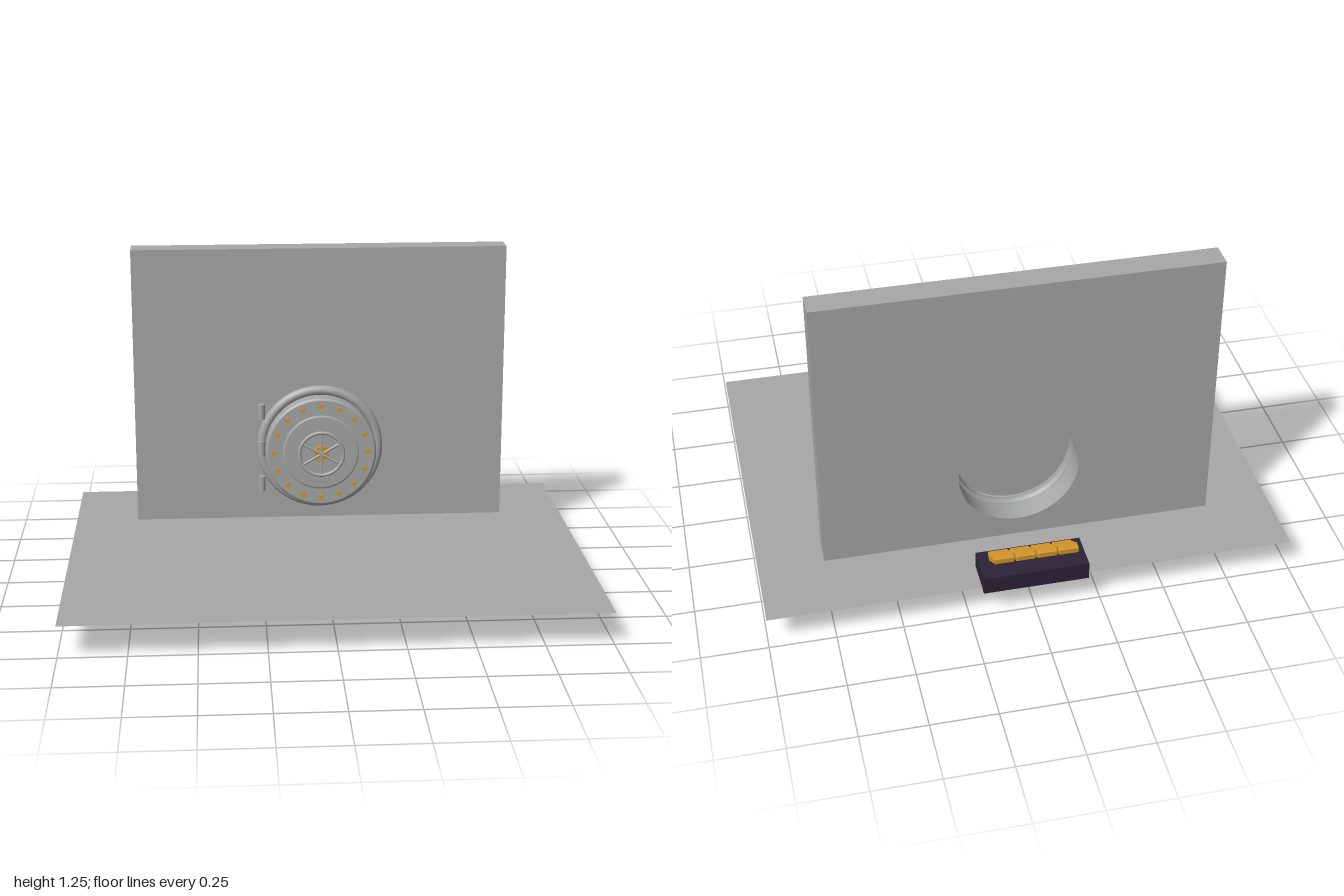
import * as THREE from 'three';
import { RoundedBoxGeometry } from 'three/addons/geometries/RoundedBoxGeometry.js';

const material = (name, color, side = THREE.FrontSide) =>
  Object.assign(new THREE.MeshStandardMaterial({ color, side }), { name });

export function createModel() {
  const stone = material('stone grey', 0xa8a8a8, THREE.DoubleSide);
  const steel = material('steel grey', 0xa6a8a7);
  const gold = material('gold', 0xd4952a);
  const dark = material('dark violet', 0x2d2238);

  const model = new THREE.Group();
  model.name = 'vault';
  const add = (parent, name, geometry, mat, x = 0, y = 0, z = 0) => {
    const mesh = new THREE.Mesh(geometry, mat);
    mesh.name = name;
    mesh.position.set(x, y, z);
    parent.add(mesh);
    return mesh;
  };

  // Floor sheet
  add(model, 'floor', new THREE.PlaneGeometry(2, 1.5).rotateX(-Math.PI / 2), stone, 0, 0.125, 0.01);

  // Wall with a round opening
  const doorY = 0.43;
  const outline = new THREE.Shape();
  outline.moveTo(-0.75, 0).lineTo(0.75, 0).lineTo(0.75, 1.25).lineTo(-0.75, 1.25).closePath();
  const hole = new THREE.Path();
  hole.absarc(0, doorY, 0.23, 0, Math.PI * 2, true);
  outline.holes.push(hole);
  add(model, 'wall', new THREE.ExtrudeGeometry(outline, { depth: 0.1, bevelEnabled: false, curveSegments: 48 }),
    stone, 0, 0, -0.465);

  // Round frame around the opening
  add(model, 'doorFrame', new THREE.TorusGeometry(0.237, 0.02, 16, 64), steel, 0, doorY, -0.36);

  // Hinge knuckles on the frame
  for (const y of [0.28, 0.43, 0.585]) {
    add(model, 'hinge', new THREE.CylinderGeometry(0.014, 0.014, 0.062, 16), steel, -0.238, y, -0.341);
  }

  // Door group: local z = 0 is the front face
  const door = new THREE.Group();
  door.name = 'door';
  door.position.set(0, doorY, -0.27);
  model.add(door);

  // Door slab with a rounded rim; corners doubled to keep them sharp
  const profile = [
    [0, -0.065], [0.223, -0.065], [0.223, -0.065], [0.225, -0.062], [0.225, -0.062],
    [0.225, -0.008], [0.225, -0.008], [0.222, -0.002], [0.216, 0], [0.216, 0],
    [0.155, 0], [0.155, 0], [0.148, 0.003], [0.148, 0.003], [0, 0.003],
  ].map(([r, h]) => new THREE.Vector2(r, h));
  add(door, 'doorSlab', new THREE.LatheGeometry(profile, 64).rotateX(Math.PI / 2), steel);

  // Ring of gold bolts
  for (let i = 0; i < 16; i++) {
    const a = (i / 16) * Math.PI * 2;
    add(door, 'bolt', new THREE.CylinderGeometry(0.01, 0.01, 0.012, 12).rotateX(Math.PI / 2), gold,
      0.192 * Math.cos(a), 0.192 * Math.sin(a), 0.001);
  }

  // Hand wheel on a gold hub
  add(door, 'wheelHub', new THREE.CylinderGeometry(0.03, 0.03, 0.021, 24).rotateX(Math.PI / 2), gold, 0, 0, 0.0105);
  const wheel = new THREE.Group();
  wheel.name = 'handWheel';
  wheel.position.z = 0.025;
  door.add(wheel);
  add(wheel, 'wheelRim', new THREE.TorusGeometry(0.089, 0.007, 12, 48), steel);
  for (let i = 0; i < 3; i++) {
    add(wheel, 'wheelSpoke', new THREE.CylinderGeometry(0.005, 0.005, 0.176, 10), steel).rotation.z = i * Math.PI / 3;
  }
  add(wheel, 'wheelCap', new THREE.CylinderGeometry(0.01, 0.01, 0.013, 16).rotateX(Math.PI / 2), steel);

  // Plinth with stepped rows of gold bars behind the wall
  add(model, 'plinth', new THREE.BoxGeometry(0.4, 0.07, 0.15), dark, 0, 0.155, -0.69);
  for (let row = 0; row < 3; row++) {
    for (let i = 0; i < 4; i++) {
      add(model, 'goldBar', new RoundedBoxGeometry(0.076, 0.025, 0.034, 2, 0.004), gold,
        (i - 1.5) * 0.081, 0.205 + row * 0.028, -0.663 - row * 0.04);
    }
  }

  // Floating dust specks in front of the door
  const specks = [
    [-0.26, 0.235, -0.16], [-0.27, 0.22, -0.06], [-0.22, 0.25, -0.065],
    [-0.22, 0.235, -0.1], [-0.06, 0.25, -0.13], [0.1, 0.22, -0.05],
  ];
  for (const p of specks) add(model, 'dustSpeck', new THREE.OctahedronGeometry(0.002), steel, ...p);

  return model;
}
